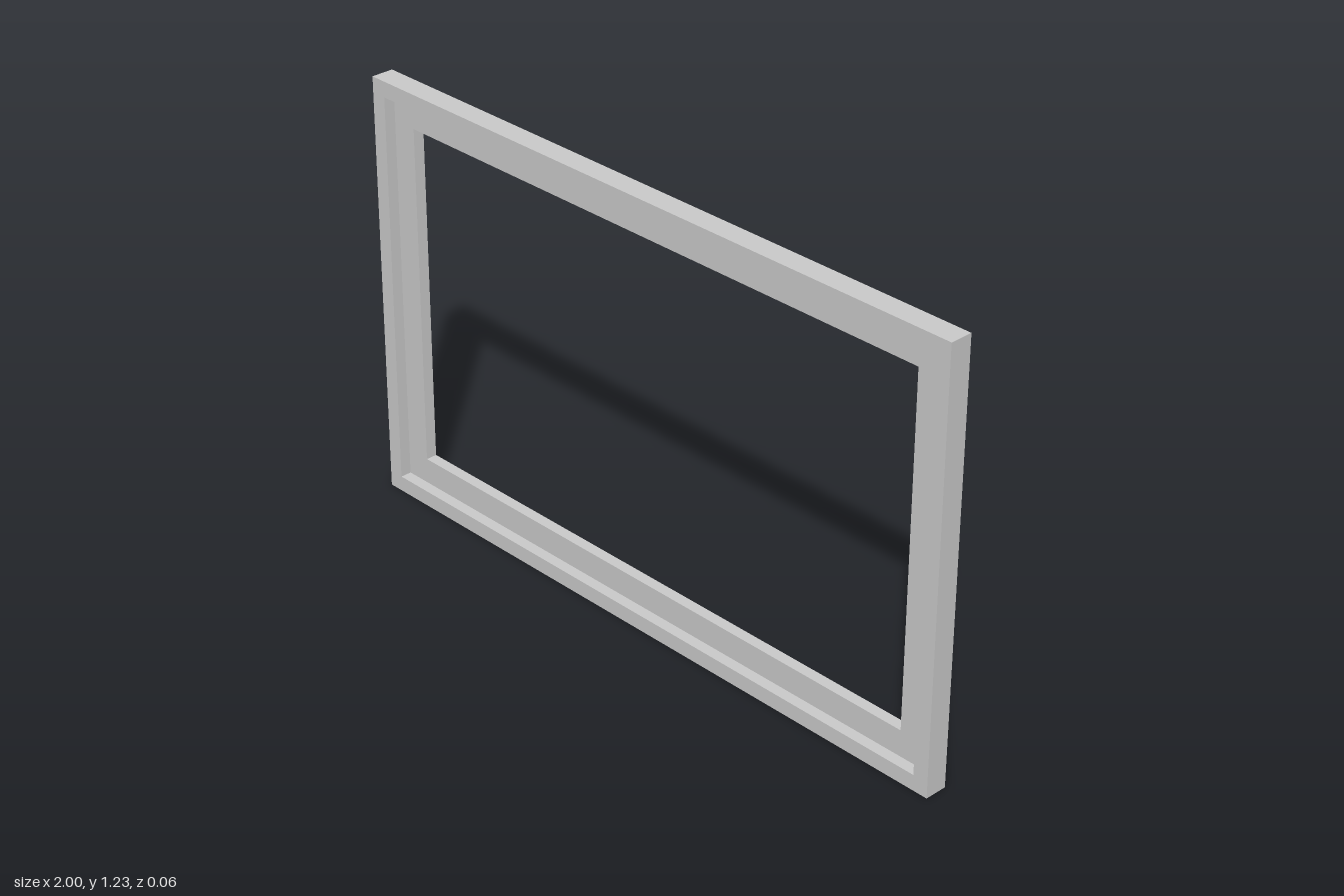
import * as THREE from 'three';

const WIDTH = 2, HEIGHT = 1.23, HALF_DEPTH = 0.0325;

// Frame cross-section as [inset from the outer edge, z]: an L with the rebate at the front
const PROFILE = [
  [0, -HALF_DEPTH], [0, HALF_DEPTH],
  [0.045, HALF_DEPTH], [0.045, 0],
  [0.12, 0], [0.12, -HALF_DEPTH],
];

// Sweep the profile around a rectangle with mitred corners
function sweepAroundRectangle(profile, width, height) {
  const corners = [[-1, -1], [1, -1], [1, 1], [-1, 1]];
  const point = ([inset, z], [sx, sy]) => [
    sx * (width / 2 - inset),
    height / 2 + sy * (height / 2 - inset),
    z,
  ];
  const positions = [];
  corners.forEach((corner, i) => {
    const next = corners[(i + 1) % corners.length];
    profile.forEach((p, j) => {
      const q = profile[(j + 1) % profile.length];
      const a = point(p, corner), b = point(p, next);
      const c = point(q, next), d = point(q, corner);
      positions.push(...a, ...b, ...c, ...a, ...c, ...d);
    });
  });
  const geometry = new THREE.BufferGeometry();
  geometry.setAttribute('position', new THREE.Float32BufferAttribute(positions, 3));
  geometry.computeVertexNormals();
  return geometry;
}

export function createModel() {
  const group = new THREE.Group();
  group.name = 'rectangularFrame';

  // Stepped frame with an open centre
  const frame = new THREE.Mesh(
    sweepAroundRectangle(PROFILE, WIDTH, HEIGHT),
    new THREE.MeshStandardMaterial({ color: 0xcccccc, flatShading: true }),
  );
  frame.name = 'rebatedFrame';
  group.add(frame);

  return group;
}
